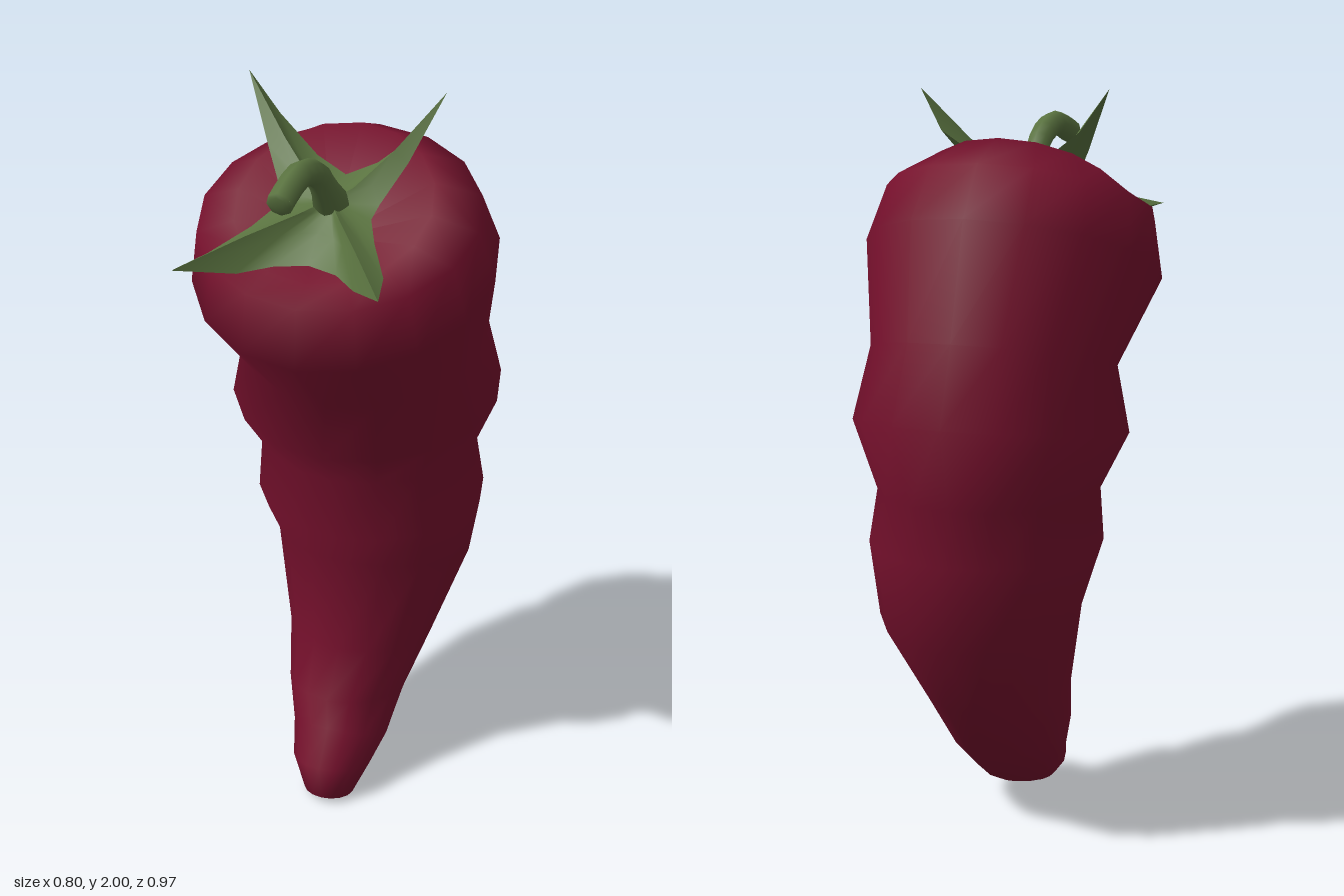
import * as THREE from 'three';
import { toCreasedNormals } from 'three/addons/utils/BufferGeometryUtils.js';

// Skin a stack of closed rings (counter-clockwise from above, bottom to top).
function loft(rings) {
  const n = rings[0].length, index = [];
  for (let i = 0; i < rings.length - 1; i++) {
    for (let j = 0; j < n; j++) {
      const k = (j + 1) % n;
      const a = i * n + j, b = i * n + k, c = a + n, d = b + n;
      if (i > 0) index.push(a, b, d);
      if (i < rings.length - 2) index.push(a, d, c);
      else if (i === 0) index.push(a, d, c);
    }
  }
  const geometry = new THREE.BufferGeometry();
  geometry.setAttribute('position', new THREE.Float32BufferAttribute(rings.flat(2), 3));
  geometry.setIndex(index);
  geometry.computeVertexNormals();
  return geometry;
}

function named(name, geometry, material) {
  const mesh = new THREE.Mesh(geometry, material);
  mesh.name = name;
  return mesh;
}

// Pepper body: tilted elliptical rings given by front and back edge points.
function bodyGeometry() {
  // front z, front y, back z, back y, half width, x centre
  const sections = [
    [0.27, 0.01, 0.27, 0.01, 0, 0.03],
    [0.33, 0.02, 0.20, 0.00, 0.07, 0.03],
    [0.32, 0.11, 0.09, 0.04, 0.11, 0.02],
    [0.25, 0.20, 0.02, 0.07, 0.135, 0.02],
    [0.225, 0.28, -0.15, 0.20, 0.165, 0.01],
    [0.15, 0.41, -0.25, 0.36, 0.205, 0.02],
    [0.145, 0.70, -0.40, 0.57, 0.275, 0.035],
    [0.20, 0.81, -0.43, 0.81, 0.315, 0.025],
    [0.16, 0.96, -0.43, 0.96, 0.297, 0.01],
    [0.24, 1.07, -0.485, 1.18, 0.367, 0.008],
    [0.245, 1.23, -0.38, 1.38, 0.33, 0.02],
    [0.41, 1.41, -0.34, 1.69, 0.398, 0],
    [0.40, 1.57, -0.235, 1.82, 0.365, 0],
    [0.33, 1.61, -0.09, 1.875, 0.255, 0],
    [0.13, 1.65, 0.13, 1.65, 0, 0],
  ];
  const sides = 16;
  return loft(sections.map(([fz, fy, bz, by, w, cx]) =>
    Array.from({ length: sides }, (_, j) => {
      const a = (j / sides) * Math.PI * 2, c = Math.cos(a);
      return [cx + w * Math.sin(a), (fy + by) / 2 + c * (fy - by) / 2, (fz + bz) / 2 + c * (fz - bz) / 2];
    })));
}

// Calyx: four-pointed star, half outline mirrored and drawn in to the centre.
function calyxGeometry() {
  const half = [
    [0, 1.645, 0.30], [0.08, 1.635, 0.31], [0.15, 1.63, 0.37], [0.26, 1.67, 0.485],
    [0.225, 1.665, 0.35], [0.16, 1.70, 0.24], [0.125, 1.73, 0.17], [0.13, 1.75, 0.12],
    [0.185, 1.84, 0.05], [0.26, 2.0, -0.035], [0.19, 1.89, -0.05], [0.08, 1.81, 0.00],
    [0, 1.78, 0.03],
  ];
  const mirrored = half.slice(1, -1).reverse().map(([x, y, z]) => [-x, y, z]);
  const outline = [...half, ...mirrored].map(([x, y, z]) => [x - 0.08 * Math.abs(x), y, z]);
  const ring = (t, centreY, lift) => outline.map(([x, y, z]) =>
    [x * t, centreY + (y - centreY) * Math.pow(t, 1.3) + lift, 0.15 + (z - 0.15) * t]);
  return loft([
    ring(0, 1.69, 0), ring(0.55, 1.69, -0.02), outline,
    ring(0.55, 1.75, 0), ring(0.2, 1.75, 0), ring(0, 1.76, 0),
  ]);
}

export function createModel() {
  const group = new THREE.Group();
  group.name = 'chiliPepper';
  const red = new THREE.MeshStandardMaterial({ color: 0x75102c });
  const green = new THREE.MeshStandardMaterial({ color: 0x5a7340 });

  group.add(named('pepperBody', bodyGeometry(), red));
  group.add(named('calyx', toCreasedNormals(calyxGeometry(), 1.0), green));

  // Curved stem with a flared foot and a rounded end
  const path = new THREE.CatmullRomCurve3([
    [0, 1.73, 0.13], [0, 1.80, 0.185], [0, 1.865, 0.25],
    [-0.005, 1.895, 0.34], [-0.01, 1.88, 0.41], [-0.012, 1.865, 0.455],
  ].map((p) => new THREE.Vector3(...p)));
  const segments = 10, radial = 8;
  const stem = new THREE.TubeGeometry(path, segments, 0.033, radial);
  const pos = stem.attributes.position, v = new THREE.Vector3();
  for (let i = 0; i < pos.count; i++) {
    const t = Math.floor(i / (radial + 1)) / segments;
    const c = path.getPointAt(t);
    v.fromBufferAttribute(pos, i).sub(c).multiplyScalar(1 + 0.6 * Math.max(0, 1 - t * 4)).add(c);
    pos.setXYZ(i, v.x, v.y, v.z);
  }
  group.add(named('stem', stem, green));

  const end = named('stemEnd', new THREE.SphereGeometry(0.033, radial, 4, 0, Math.PI * 2, 0, Math.PI / 2), green);
  end.scale.y = 0.3;
  end.position.copy(path.getPointAt(1));
  end.quaternion.setFromUnitVectors(new THREE.Vector3(0, 1, 0), path.getTangentAt(1));
  group.add(end);
  return group;
}
